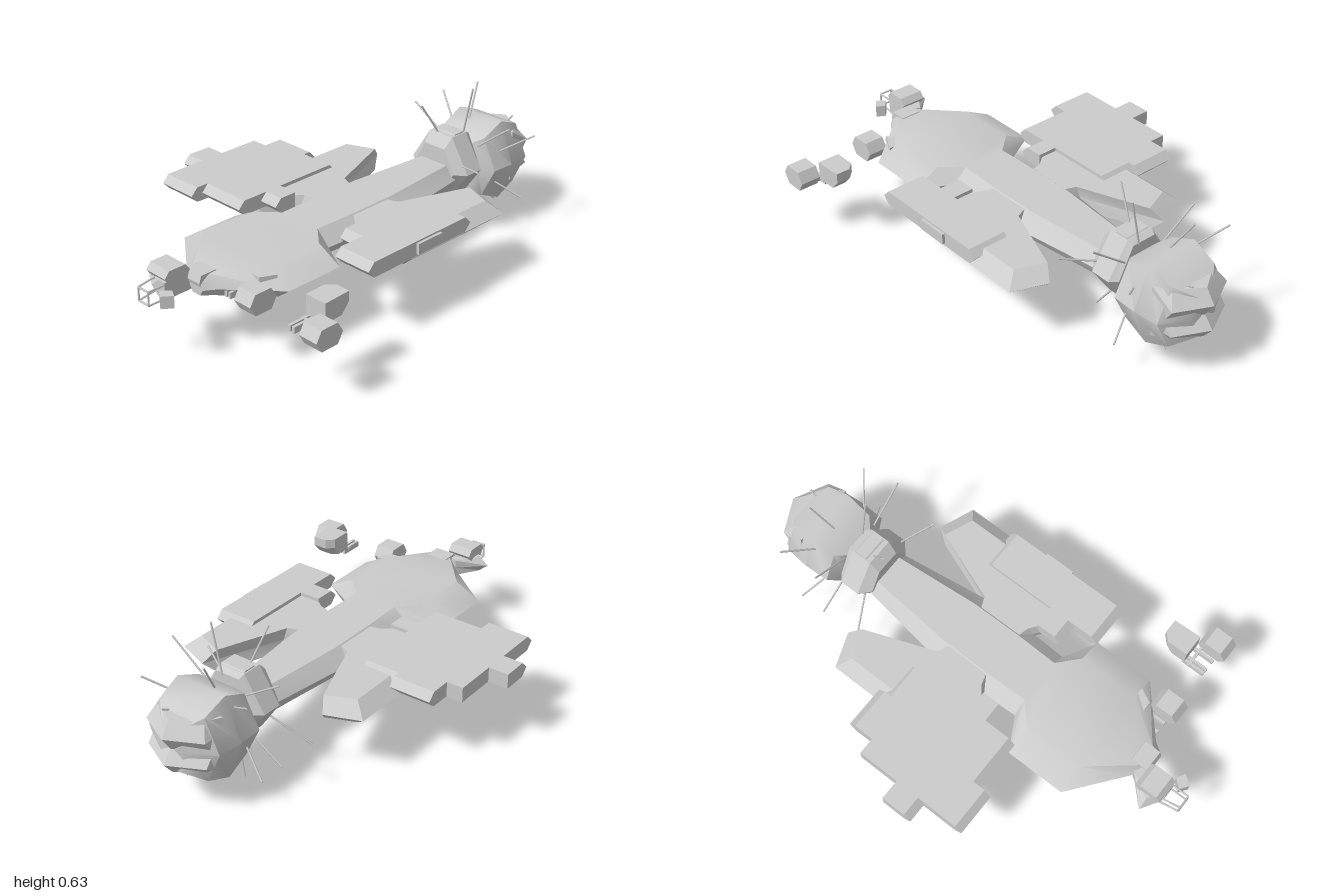
import * as THREE from 'three';
import { toCreasedNormals } from 'three/addons/utils/BufferGeometryUtils.js';

const CX = 0.06; // centre line of the hull
const grey = new THREE.MeshStandardMaterial({ color: 0xcccccc, side: THREE.DoubleSide });

function add(parent, name, geometry, x = 0, y = 0, z = 0) {
  const m = new THREE.Mesh(geometry, grey);
  m.name = name;
  m.position.set(x, y, z);
  parent.add(m);
  return m;
}

// Skin a list of equal-length rings (counter-clockwise seen from +z, ordered by rising z)
function loft(rings, crease) {
  const n = rings[0].length, index = [];
  for (let s = 0; s < rings.length - 1; s++)
    for (let i = 0; i < n; i++) {
      const a = s * n + i, b = s * n + (i + 1) % n;
      index.push(a, b, b + n, a, b + n, a + n);
    }
  const last = (rings.length - 1) * n;
  for (let i = 1; i < n - 1; i++) index.push(0, i + 1, i, last, last + i, last + i + 1);
  const g = new THREE.BufferGeometry();
  g.setAttribute('position', new THREE.Float32BufferAttribute(rings.flat(2), 3));
  g.setIndex(index);
  return toCreasedNormals(g, crease);
}

// Hexagon ring, points at the sides; t and b are the top and bottom width ratios
function hex(x, z, w, yMid, yTop, yBot, t = 0.6, b = t) {
  return [[x + w, yMid, z], [x + w * t, yTop, z], [x - w * t, yTop, z],
    [x - w, yMid, z], [x - w * b, yBot, z], [x + w * b, yBot, z]];
}

// Slab from an (x, z) outline; move(p, level) reshapes the bottom (-1), middle (0) and top (1)
function slab(outline, y0, y1, move) {
  const shape = new THREE.Shape(outline.map(([x, z]) => new THREE.Vector2(x, -z)));
  const h = y1 - y0;
  const g = new THREE.ExtrudeGeometry(shape, { depth: h, steps: 2, bevelEnabled: false });
  g.rotateX(-Math.PI / 2);
  const pos = g.attributes.position, p = new THREE.Vector3();
  for (let i = 0; i < pos.count; i++) {
    p.fromBufferAttribute(pos, i);
    const level = Math.round(p.y / h * 2) - 1;
    move(p, level);
    pos.setXYZ(i, p.x, p.y + y0, p.z);
  }
  return toCreasedNormals(g, 0.3);
}

function rod(parent, name, from, to, r) {
  const a = new THREE.Vector3(...from), d = new THREE.Vector3(...to).sub(a);
  const m = add(parent, name, new THREE.CylinderGeometry(r, r, d.length(), 5));
  m.position.copy(a).addScaledVector(d, 0.5);
  m.quaternion.setFromUnitVectors(new THREE.Vector3(0, 1, 0), d.normalize());
}

// Small bevelled block whose long axis runs along z
function block(parent, name, x0, x1, y0, y1, z0, z1, bevel = 0.02) {
  const outline = [[x0, z0], [x1, z0], [x1, z1], [x0, z1]], mid = (z0 + z1) / 2;
  add(parent, name, slab(outline, y0, y1, (p, l) => { if (l) p.z -= Math.sign(p.z - mid) * bevel; }));
}

export function createModel() {
  const root = new THREE.Group();
  root.name = 'spaceship';

  // Main hull: narrow spine flaring into a broad nose
  const hullSections = [[-0.52, 0.105], [-0.13, 0.16], [0.1, 0.162], [0.27, 0.155],
    [0.345, 0.29], [0.6, 0.29]];
  const rings = hullSections.map(([z, w]) => hex(CX, z, w, 0.275, 0.333, 0.23, 0.62, 0.8));
  rings.push(hex(0.075, 0.77, 0.085, 0.275, 0.325, 0.238), hex(0.095, 0.815, 0.035, 0.275, 0.3, 0.25));
  add(root, 'hull', loft(rings, 0.6));

  // Swept rear wings, mirrored about the centre line
  const wing = [[0.08, -0.1], [0.16, -0.13], [0.295, -0.465], [0.44, -0.41],
    [0.44, 0.12], [0.31, 0.23], [0.16, 0.12], [0.08, 0.1]];
  for (const s of [-1, 1])
    add(root, s > 0 ? 'leftWing' : 'rightWing',
      slab(wing.map(([x, z]) => [CX + s * x, z]), 0.228, 0.328, (p, l) => {
        if (!l) return;
        p.x = CX + s * (0.1 + (s * (p.x - CX) - 0.1) * 0.83);
        p.z = -0.05 + (p.z + 0.05) * 0.88;
      }));

  // Stepped deck modules on the wings, chamfered at front and rear
  const chamfer = (p, l) => { if (l && Math.abs(p.z) > 0.15) p.z -= Math.sign(p.z) * 0.03; };
  add(root, 'rightDeck', slab([[-0.53, -0.205], [-0.35, -0.205], [-0.35, -0.175], [-0.2, -0.175],
    [-0.2, 0.13], [-0.115, 0.13], [-0.115, 0.235], [-0.2, 0.235], [-0.2, 0.35], [-0.42, 0.35],
    [-0.42, 0.405], [-0.6, 0.405], [-0.6, 0.225], [-0.685, 0.225], [-0.685, 0.09], [-0.6, 0.09],
    [-0.6, -0.09], [-0.53, -0.09]], 0.28, 0.343, chamfer));
  add(root, 'leftDeck', slab([[0.33, -0.21], [0.5, -0.21], [0.5, 0.35], [0.33, 0.35], [0.33, 0.235],
    [0.24, 0.235], [0.24, 0.12], [0.33, 0.12]], 0.28, 0.343, chamfer));
  add(root, 'sideHatch', new THREE.BoxGeometry(0.02, 0.045, 0.13), 0.502, 0.313, 0.03);

  // Collar between spine and rear pod
  add(root, 'collar', loft([
    hex(CX, -0.645, 0.12, 0.3, 0.43, 0.19, 0.45),
    hex(CX, -0.62, 0.15, 0.3, 0.443, 0.172, 0.4),
    hex(CX, -0.535, 0.15, 0.3, 0.443, 0.172, 0.4),
    hex(CX, -0.495, 0.105, 0.3, 0.4, 0.2, 0.5)], 0.4));
  block(root, 'collarCap', 0.005, 0.115, 0.41, 0.448, -0.63, -0.54);

  // Six-sided rear pod
  add(root, 'rearPod', loft([[-0.955, 0.06, 0.09], [-0.89, 0.17, 0.135], [-0.785, 0.18, 0.176],
    [-0.68, 0.175, 0.13], [-0.645, 0.11, 0.105]]
    .map(([z, w, h]) => hex(CX, z, w, 0.28, 0.28 + h, 0.28 - h, 0.63)), 0.8));

  // Pair of chevron jaws closing the pod, leaving a notch between them
  const jaw = [[-0.14, -0.93], [0, -1], [0.14, -0.93], [0.14, -0.83], [-0.14, -0.83]]
    .map(([x, z]) => [CX + x, z]);
  for (const s of [-1, 1])
    add(root, s > 0 ? 'upperJaw' : 'lowerJaw',
      slab(jaw, s > 0 ? 0.28 : 0.18, s > 0 ? 0.4 : 0.28, (p, l) => {
        if (p.z > -0.9 || !l) return;
        p.z += 0.04;
        if (l === s) p.x = CX + (p.x - CX) * 0.75;
      }));

  // Antenna spikes radiating from collar and pod: base, tip
  const spikes = [
    [[0.085, 0.42, -0.645], [0.128, 0.628, -0.645]], [[0.04, 0.42, -0.555], [0.01, 0.572, -0.465]],
    [[0.035, 0.42, -0.735], [0, 0.572, -0.83]], [[0, 0.36, -0.65], [-0.19, 0.48, -0.65]],
    [[0.16, 0.38, -0.65], [0.32, 0.505, -0.65]], [[0.17, 0.33, -0.54], [0.318, 0.372, -0.465]],
    [[0.2, 0.34, -0.74], [0.315, 0.42, -0.83]], [[0.18, 0.23, -0.7], [0.314, 0.157, -0.765]],
    [[0.09, 0.2, -0.56], [0.117, 0.066, -0.465]], [[0.09, 0.15, -0.74], [0.117, 0.066, -0.83]],
    [[0.025, 0.2, -0.645], [-0.004, 0.003, -0.645]], [[-0.03, 0.23, -0.65], [-0.193, 0.13, -0.65]],
    [[-0.04, 0.38, -0.74], [-0.19, 0.48, -0.83]], [[-0.05, 0.23, -0.7], [-0.193, 0.13, -0.765]],
    [[-0.04, 0.24, -0.54], [-0.193, 0.13, -0.47]], [[0.09, 0.36, -0.83], [0.11, 0.416, -0.94]]];
  for (const [base, tip] of spikes) rod(root, 'spike', base, tip, 0.004);

  // Nose docking gear: wedge, cabin block and open frame
  const dock = new THREE.Group();
  dock.name = 'noseDock';
  root.add(dock);
  add(dock, 'dockWedge', slab([[-0.1, 0.875], [0, 0.775], [0.055, 0.8], [0.055, 0.925], [-0.02, 0.925]],
    0.25, 0.32, (p, l) => { if (l && p.x < 0) p.x += 0.04; }));
  block(dock, 'dockCabin', -0.045, 0.06, 0.31, 0.362, 0.81, 0.925);
  block(dock, 'dockNeck', 0.03, 0.12, 0.27, 0.33, 0.73, 0.82, 0.01);
  const frame = [[-0.02, 0.91], [-0.005, 0.995], [0.05, 0.995], [0.05, 0.91]];
  for (const y of [0.255, 0.31])
    for (let i = 0; i < 3; i++)
      rod(dock, 'dockFrame', [frame[i][0], y, frame[i][1]], [frame[i + 1][0], y, frame[i + 1][1]], 0.004);
  for (const [x, z] of frame) rod(dock, 'dockPost', [x, 0.255, z], [x, 0.31, z], 0.004);
  add(dock, 'dockLamp', slab([[0.055, 0.95], [0.085, 0.915], [0.12, 0.935], [0.09, 0.975]],
    0.25, 0.3, () => {}));

  // Two forward pods with prongs, one on the nose edge, one detached
  for (const [name, x] of [['innerPod', 0.265], ['outerPod', 0.595]]) {
    const pod = new THREE.Group();
    pod.name = name;
    root.add(pod);
    block(pod, 'podBody', x, x + 0.085, 0.24, 0.325, 0.66, 0.785, 0.025);
    for (const dx of [-0.085, -0.065, -0.02])
      add(pod, 'prong', new THREE.BoxGeometry(0.012, 0.025, 0.1), x + dx, 0.258, 0.7);
    add(pod, 'crossBar', new THREE.BoxGeometry(0.1, 0.015, 0.012), x - 0.045, 0.262, 0.68);
  }
  add(root, 'innerPodMount', slab([[0.18, 0.6], [0.29, 0.6], [0.26, 0.66], [0.18, 0.66]],
    0.25, 0.32, () => {}));
  add(root, 'outerPodPlate', slab([[0.5, 0.57], [0.53, 0.54], [0.59, 0.54], [0.595, 0.66], [0.5, 0.66]],
    0.27, 0.352, (p, l) => { if (l < 0) p.z = 0.66 + (p.z - 0.66) * 0.7; }));

  return root;
}
